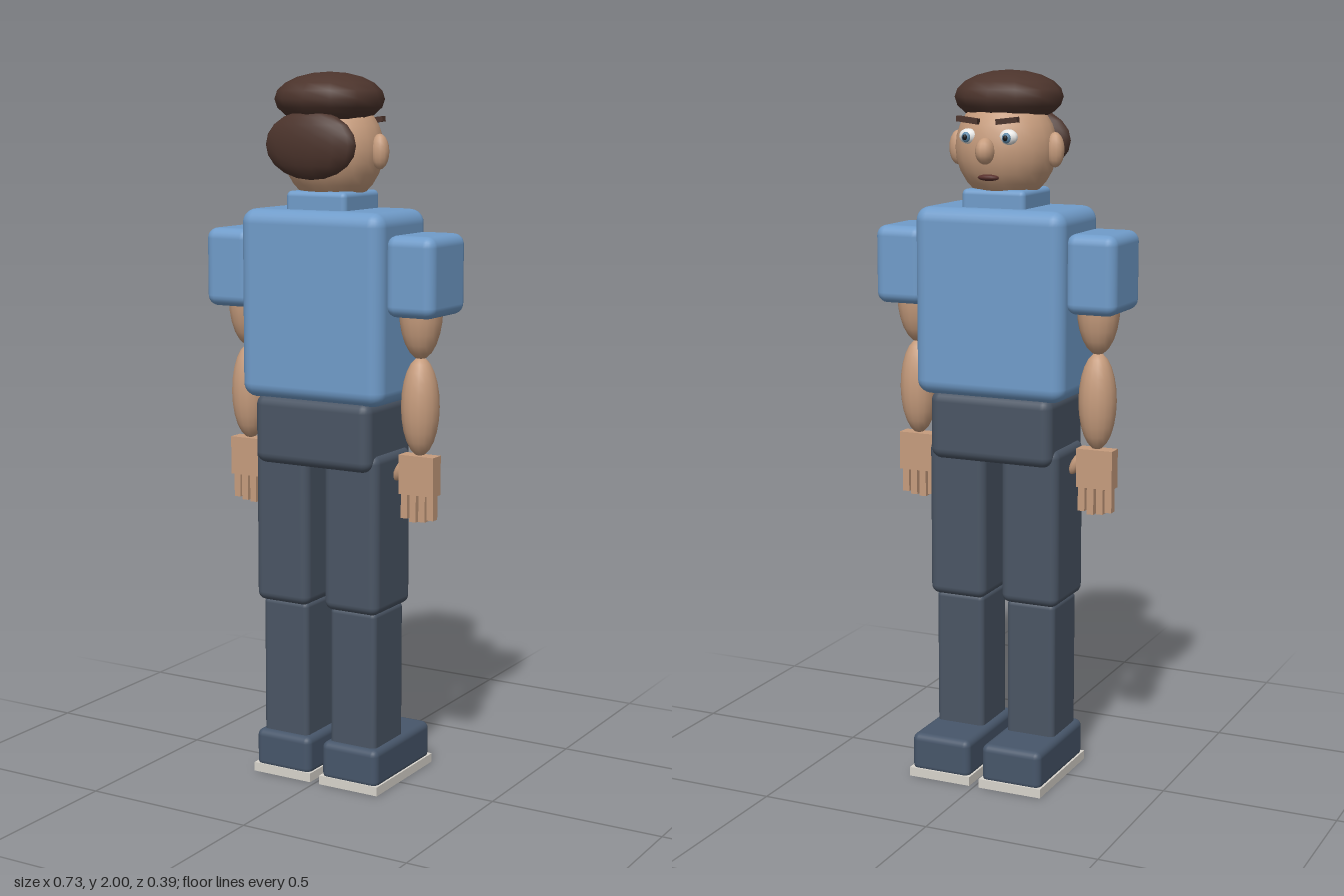
import * as THREE from 'three';
import { RoundedBoxGeometry } from 'three/addons/geometries/RoundedBoxGeometry.js';

const mat = (name, color) => {
  const m = new THREE.MeshStandardMaterial({ color });
  m.name = name;
  return m;
};

export function createModel() {
  const root = new THREE.Group();
  root.name = 'standingMan';

  const skin = mat('skin', 0xc69c7d);
  const hair = mat('hair', 0x4c342c);
  const shirt = mat('shirt', 0x709cca);
  const trousers = mat('trousers', 0x4a5564);
  const shoe = mat('shoe', 0x47566a);
  const sole = mat('sole', 0xd8d4cc);
  const eyeWhite = mat('eyeWhite', 0xf0f0ee);
  const iris = mat('iris', 0x5c88a8);
  const pupil = mat('pupil', 0x16181c);
  const lip = mat('lip', 0x57302c);

  const add = (name, geometry, material, x, y, z) => {
    const mesh = new THREE.Mesh(geometry, material);
    mesh.name = name;
    mesh.position.set(x, y, z);
    root.add(mesh);
    return mesh;
  };
  // Box given by its limits on each axis; r is the edge rounding
  const box = (name, material, [x0, x1], [y0, y1], [z0, z1], r = 0) => {
    const w = x1 - x0, h = y1 - y0, d = z1 - z0;
    const g = r ? new RoundedBoxGeometry(w, h, d, 3, r) : new THREE.BoxGeometry(w, h, d);
    return add(name, g, material, (x0 + x1) / 2, (y0 + y1) / 2, (z0 + z1) / 2);
  };
  const ball = (name, material, [x, y, z], [rx, ry, rz], ws = 16, hs = 12) => {
    const g = new THREE.SphereGeometry(1, ws, hs);
    g.scale(rx, ry, rz);
    return add(name, g, material, x, y, z);
  };
  // Same box on the side s (+1 left, -1 right)
  const sideX = (s, a, b) => (s > 0 ? [a, b] : [-b, -a]);

  // Trunk
  box('torso', shirt, [-0.225, 0.225], [1.105, 1.63], [-0.112, 0.165], 0.04);
  box('collar', shirt, [-0.095, 0.095], [1.59, 1.68], [-0.068, 0.124], 0.015);
  box('pelvis', trousers, [-0.185, 0.185], [0.92, 1.115], [-0.098, 0.155], 0.03);

  // Head; the face looks toward -z
  ball('head', skin, [0, 1.79, 0.025], [0.142, 0.15, 0.135], 20, 14);
  ball('nose', skin, [0, 1.787, -0.113], [0.026, 0.036, 0.033], 12, 10);
  ball('hairCap', hair, [0, 1.927, 0.045], [0.152, 0.073, 0.146], 12, 10);
  ball('backHair', hair, [0, 1.805, 0.146], [0.142, 0.093, 0.043], 14, 10);
  ball('mouth', lip, [0, 1.715, -0.092], [0.032, 0.009, 0.016], 12, 8);

  for (const s of [1, -1]) {
    // Face details
    ball('ear', skin, [s * 0.146, 1.787, 0.025], [0.026, 0.048, 0.025], 12, 10);
    ball('eyeball', eyeWhite, [s * 0.06, 1.825, -0.092], [0.027, 0.021, 0.016], 12, 10);
    ball('iris', iris, [s * 0.06, 1.823, -0.107], [0.013, 0.014, 0.008], 12, 8);
    ball('pupil', pupil, [s * 0.06, 1.823, -0.115], [0.007, 0.008, 0.005], 10, 8);
    const brow = box('eyebrow', hair, sideX(s, 0.027, 0.09), [1.861, 1.876], [-0.106, -0.088]);
    brow.rotation.z = s * 0.12;

    // Arm
    box('sleeve', shirt, sideX(s, 0.215, 0.363), [1.35, 1.57], [-0.078, 0.128], 0.03);
    ball('upperArm', skin, [s * 0.277, 1.37, 0.027], [0.06, 0.14, 0.062]);
    ball('forearm', skin, [s * 0.277, 1.1, 0.027], [0.053, 0.137, 0.055]);

    // Hand
    box('palm', skin, sideX(s, 0.223, 0.33), [0.855, 0.965], [0.005, 0.05]);
    [0.235, 0.262, 0.29, 0.316].forEach((x, i) => {
      const tip = [0.785, 0.777, 0.78, 0.787][i];
      box('finger', skin, sideX(s, x - 0.01, x + 0.01), [tip, 0.86], [0.015, 0.04]);
    });
    const thumb = ball('thumb', skin, [s * 0.216, 0.918, 0.025], [0.016, 0.036, 0.017], 10, 8);
    thumb.rotation.z = -s * 0.5;

    // Leg
    box('thigh', trousers, sideX(s, 0.025, 0.198), [0.515, 0.968], [-0.075, 0.13], 0.025);
    box('shin', trousers, sideX(s, 0.037, 0.184), [0.11, 0.52], [-0.056, 0.11], 0.015);

    // Shoe
    box('shoe', shoe, sideX(s, 0.019, 0.2), [0.015, 0.128], [-0.192, 0.13], 0.02);
    box('sole', sole, sideX(s, 0.015, 0.204), [0, 0.026], [-0.196, 0.132]);
  }
  return root;
}
